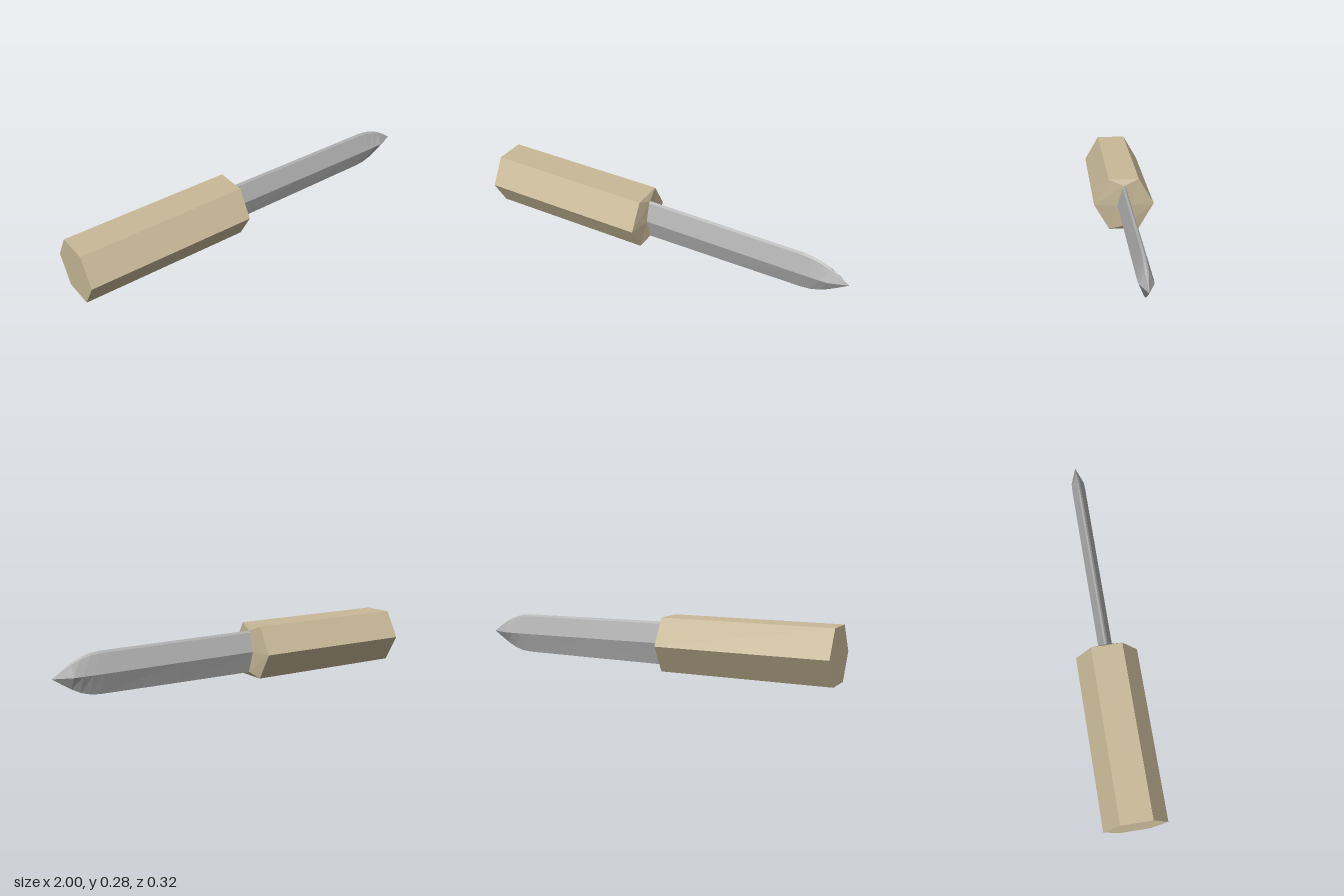
import * as THREE from 'three';

// Skin a row of cross-sections along x; each is { x, pts: [[z, y], ...] }
function loft(sections, capStart, capEnd) {
  const v = [];
  const put = (s, i) => v.push(s.x, s.pts[i][1], s.pts[i][0]);
  const n = sections[0].pts.length;
  for (let k = 0; k < sections.length - 1; k++) {
    const a = sections[k], b = sections[k + 1];
    for (let i = 0; i < n; i++) {
      const j = (i + 1) % n;
      put(a, i); put(a, j); put(b, i);
      put(a, j); put(b, j); put(b, i);
    }
  }
  const first = sections[0], last = sections[sections.length - 1];
  for (let i = 1; i < n - 1; i++) {
    if (capStart) { put(first, 0); put(first, i + 1); put(first, i); }
    if (capEnd) { put(last, 0); put(last, i); put(last, i + 1); }
  }
  const g = new THREE.BufferGeometry();
  g.setAttribute('position', new THREE.Float32BufferAttribute(v, 3));
  g.computeVertexNormals();
  return g;
}

export function createModel() {
  const group = new THREE.Group();
  const wood = new THREE.MeshStandardMaterial({ color: 0xc8b998 });
  wood.name = 'tan handle';
  const steel = new THREE.MeshStandardMaterial({ color: 0xb4b4b4 });
  steel.name = 'grey steel';

  const add = (name, geometry, material) => {
    const mesh = new THREE.Mesh(geometry, material);
    mesh.name = name;
    group.add(mesh);
  };

  // Hexagonal handle whose front face slopes gently in to the blade
  const hexagon = (x, wide, narrow, top, bottom, mid) => ({
    x, pts: [[-wide, mid], [-narrow, top], [narrow, top], [wide, mid], [narrow, bottom], [-narrow, bottom]],
  });
  add('handle', loft([
    hexagon(-1, 0.159, 0.0795, 0.276, 0, 0.138),
    hexagon(-0.11, 0.159, 0.0795, 0.276, 0, 0.138),
    hexagon(-0.095, 0.036, 0.003, 0.244, 0.022, 0.136),
  ], true, true), wood);

  // Blade: diamond section with a fine bevel on the upper edge
  const blade = (x, top, bottom, ridge, w) => {
    const shoulder = ridge + (top - ridge) * 0.9;
    return {
      x, pts: [[-w, ridge], [-w * 0.25, shoulder], [0, top], [w * 0.25, shoulder], [w, ridge], [0, bottom]],
    };
  };
  add('blade', loft([
    [-0.11, 0.245, 0.021, 0.136, 0.036],
    [0.33, 0.241, 0.023, 0.133, 0.036],
    [0.76, 0.237, 0.026, 0.13, 0.036],
    [0.81, 0.231, 0.031, 0.13, 0.036],
    [0.86, 0.216, 0.046, 0.13, 0.036],
    [0.905, 0.196, 0.069, 0.13, 0.034],
    [0.95, 0.167, 0.097, 0.13, 0.018],
    [1, 0.13, 0.13, 0.13, 0],
  ].map((s) => blade(...s)), true, false), steel);

  return group;
}
